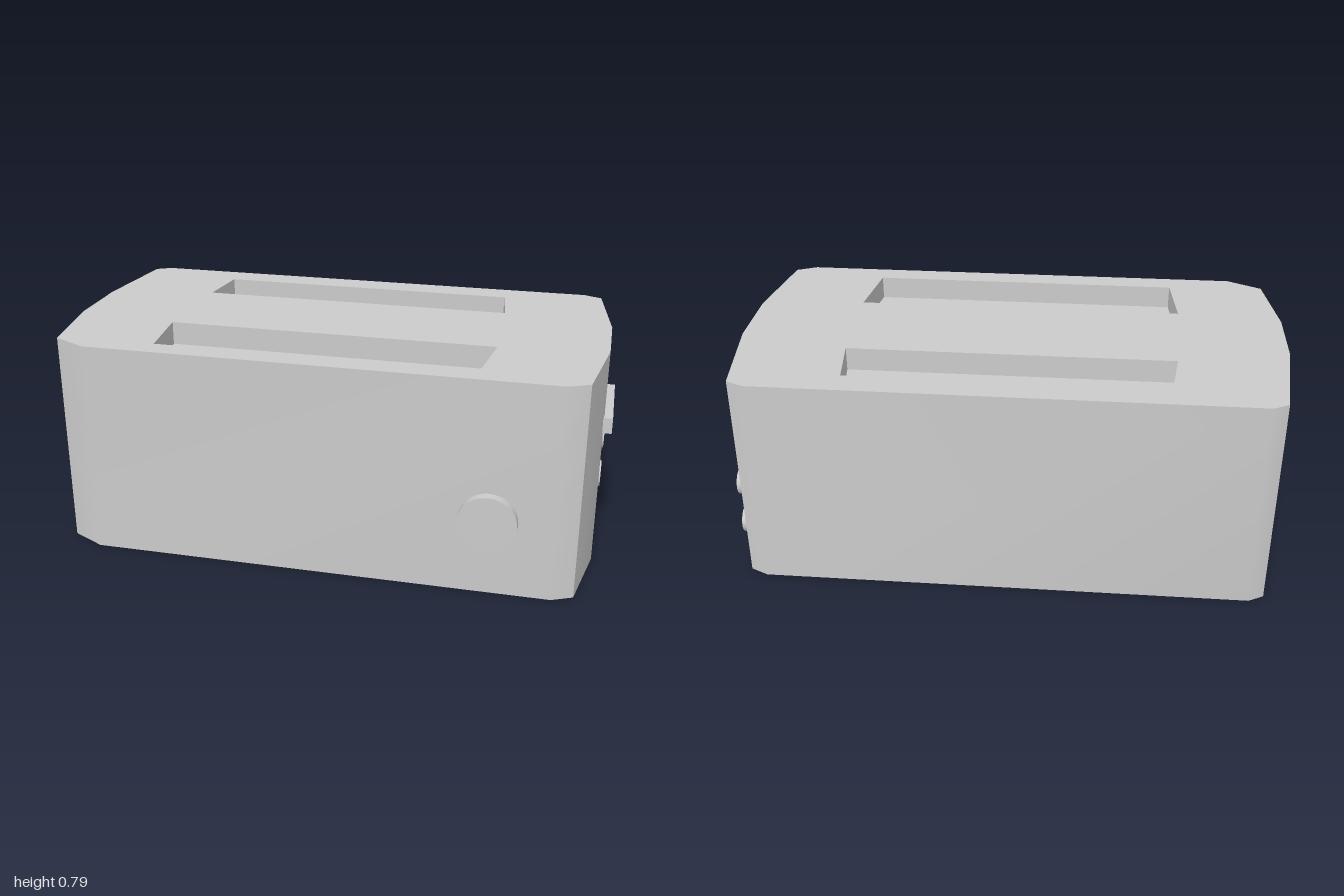
import * as THREE from 'three';
import { mergeGeometries, toCreasedNormals } from 'three/addons/utils/BufferGeometryUtils.js';

const HEIGHT = 0.79;
const SLOT_FLOOR = 0.705;

// Outlines as [x, z], counter-clockwise seen from above
const outline = (zBack, zFront) => [
  [-0.83, 0.5], [0.845, 0.5], [0.92, 0.465], [0.97, zFront], [0.97, zBack], [0.92, -0.505],
  [0.855, -0.535], [-0.9, -0.535], [-0.955, -0.505], [-1, zBack], [-1, zFront], [-0.955, 0.435],
];
const bottomOutline = outline(-0.19, 0.18);
const topOutline = outline(-0.14, 0.13);
const slots = [
  [[-0.605, -0.225], [0.57, -0.225], [0.545, -0.43], [-0.58, -0.43]],
  [[-0.595, 0.415], [0.555, 0.415], [0.585, 0.17], [-0.62, 0.17]],
];

// Upright strip joining two matching outlines
function walls(lower, y0, upper, y1) {
  const positions = [];
  lower.forEach(([x, z], i) => {
    const j = (i + 1) % lower.length;
    const a = [x, y0, z], b = [lower[j][0], y0, lower[j][1]];
    const c = [upper[j][0], y1, upper[j][1]], d = [upper[i][0], y1, upper[i][1]];
    positions.push(...a, ...b, ...c, ...a, ...c, ...d);
  });
  const geometry = new THREE.BufferGeometry();
  geometry.setAttribute('position', new THREE.Float32BufferAttribute(positions, 3));
  geometry.computeVertexNormals();
  return geometry;
}

// Flat horizontal panel, facing up (1) or down (-1)
function panel(points, y, facing, holes = []) {
  const toVectors = (list) => list.map(([x, z]) => new THREE.Vector2(x, -facing * z));
  const shape = new THREE.Shape(toVectors(points));
  shape.holes = holes.map((hole) => new THREE.Path(toVectors(hole)));
  const geometry = new THREE.ShapeGeometry(shape).toNonIndexed();
  geometry.deleteAttribute('uv');
  return geometry.rotateX(-facing * Math.PI / 2).translate(0, y, 0);
}

export function createModel() {
  const model = new THREE.Group();
  model.name = 'toaster';
  const material = new THREE.MeshStandardMaterial({ color: 0xcccccc });
  const add = (name, geometry, x = 0, y = 0, z = 0) => {
    const mesh = new THREE.Mesh(geometry, material);
    mesh.name = name;
    mesh.position.set(x, y, z);
    model.add(mesh);
  };

  // Housing with two recessed bread slots
  const parts = [
    walls(bottomOutline, 0, topOutline, HEIGHT),
    panel(bottomOutline, 0, -1),
    panel(topOutline, HEIGHT, 1, slots),
  ];
  for (const slot of slots) {
    const inward = [...slot].reverse();
    parts.push(walls(inward, SLOT_FLOOR, inward, HEIGHT), panel(slot, SLOT_FLOOR, 1));
  }
  add('housing', toCreasedNormals(mergeGeometries(parts), 0.7));

  // Browning dial on the front
  add('dial', new THREE.CylinderGeometry(0.103, 0.103, 0.055, 48).rotateX(Math.PI / 2), 0.615, 0.28, 0.5075);

  // Lever and two buttons on the left end
  add('lever', new THREE.BoxGeometry(0.06, 0.058, 0.338), 0.97, 0.527, -0.005);
  for (const [name, y] of [['upperButton', 0.28], ['lowerButton', 0.11]]) {
    add(name, new THREE.CylinderGeometry(0.052, 0.052, 0.05, 40).rotateZ(Math.PI / 2), 0.955, y, -0.335);
  }
  return model;
}
